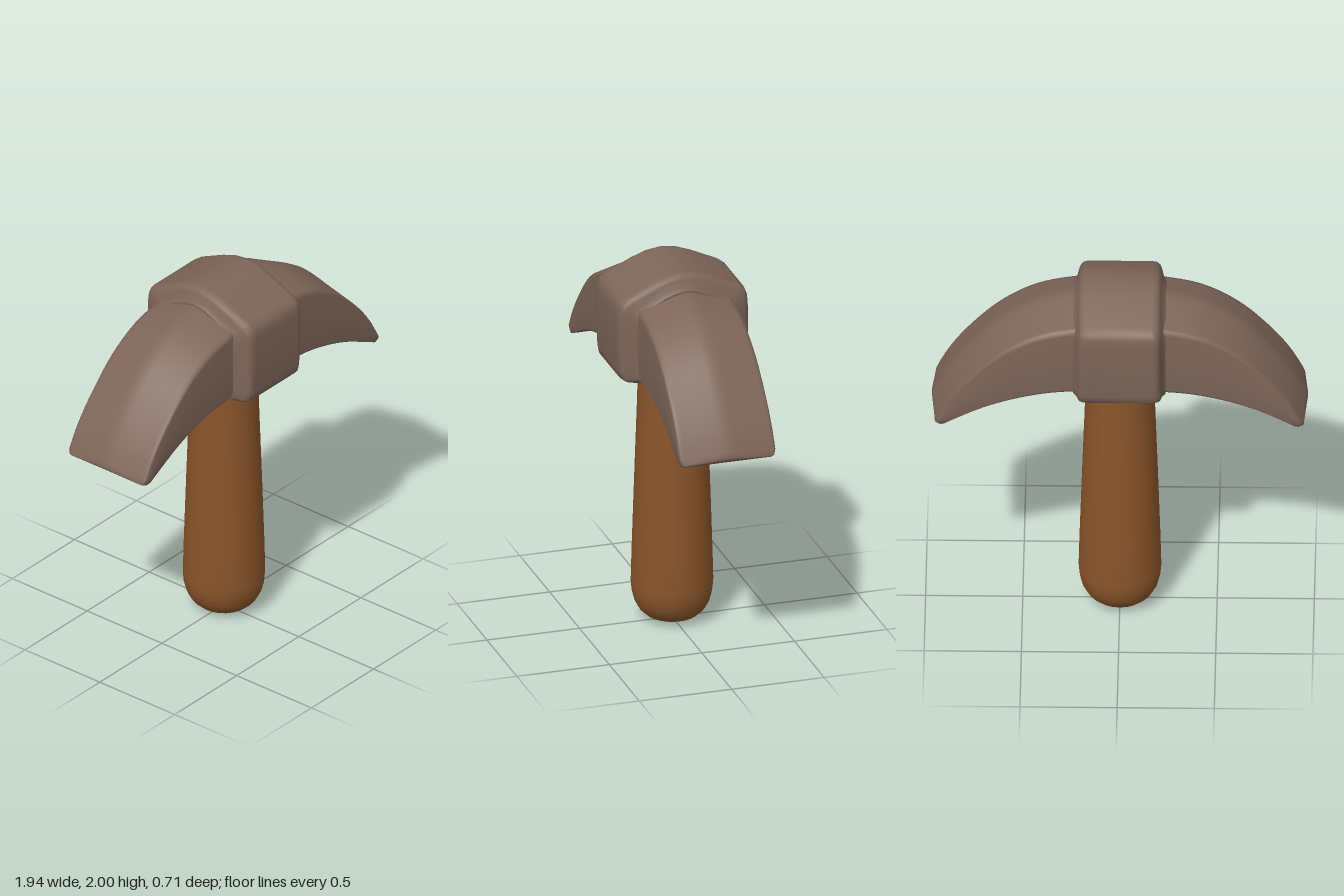
import * as THREE from 'three';

const stone = new THREE.MeshStandardMaterial({ color: 0x7d6558 });
stone.name = 'stone brown';
const neckStone = new THREE.MeshStandardMaterial({ color: 0x85756d });
neckStone.name = 'pale stone';
const wood = new THREE.MeshStandardMaterial({ color: 0x8a552b });
wood.name = 'wood';

const V = (x, y, z) => new THREE.Vector3(x, y, z);

// Completes a +z half section (bottom centre to top centre) with its mirror image
function mirrorRing(half) {
  const other = half.slice(1, -1).reverse().map((p) => V(p.x, p.y, -p.z));
  return [...half, ...other];
}

// Skins closed rings that advance along +x and caps both ends
function loft(rings) {
  const n = rings[0].length;
  const pts = rings.flat();
  const index = [];
  for (let i = 0; i < rings.length - 1; i++) {
    for (let j = 0; j < n; j++) {
      const k = (j + 1) % n;
      const a = i * n + j, b = i * n + k;
      index.push(a, a + n, b, b, a + n, b + n);
    }
  }
  [rings[0], rings[rings.length - 1]].forEach((ring, end) => {
    const start = pts.length;
    const centre = ring.reduce((s, p) => s.add(p), V(0, 0, 0)).divideScalar(n);
    pts.push(...ring, centre);
    for (let j = 0; j < n; j++) {
      const a = start + j, b = start + (j + 1) % n;
      index.push(start + n, end ? b : a, end ? a : b);
    }
  });
  const g = new THREE.BufferGeometry().setFromPoints(pts);
  g.setIndex(index);
  g.computeVertexNormals();
  return g;
}

// Curved pick blade: underside, shoulder edge and ridge curves share one section rule
function bladeGeometry() {
  const curve = (list) => new THREE.CatmullRomCurve3(list.map(([x, y]) => V(x, y, 0)));
  const under = curve([[0, 1.46], [0.22, 1.45], [0.38, 1.435], [0.54, 1.4], [0.69, 1.35], [0.82, 1.29], [0.92, 1.243]]);
  const edge = curve([[0, 1.86], [0.22, 1.835], [0.42, 1.79], [0.6, 1.69], [0.76, 1.54], [0.87, 1.4], [0.948, 1.26]]);
  const ridge = curve([[0, 1.935], [0.23, 1.91], [0.44, 1.85], [0.64, 1.725], [0.8, 1.55], [0.905, 1.4], [0.968, 1.28]]);
  const rings = [];
  const steps = 30;
  const section = (t, s) => {
    const B = under.getPoint(t), E = edge.getPoint(t), R = ridge.getPoint(t);
    const at = (f, z) => { const p = B.clone().lerp(E, f); p.z = z * s; return p; };
    const slope = (f, z) => { const p = E.clone().lerp(R, f); p.z = z * s; return p; };
    return mirrorRing([
      B.clone(), at(0, 0.225), at(0.015, 0.245), at(0.06, 0.256),
      at(0.5, 0.258), at(0.94, 0.258), slope(0.02, 0.25), slope(0.1, 0.23),
      slope(0.6, 0.11), slope(0.9, 0.04), R.clone(),
    ]);
  };
  for (let i = 0; i <= steps; i++) {
    const t = i / steps;
    rings.push(section(t, t > 0.97 ? 0.96 : 1));
  }
  // Rounded tip
  const last = rings[steps];
  const c = last.reduce((s, p) => s.add(p), V(0, 0, 0)).divideScalar(last.length);
  rings.push(last.map((p) => V(c.x + (p.x - c.x) * 0.6 + 0.004, c.y + (p.y - c.y) * 0.6 - 0.006, p.z * 0.95)));
  return loft(rings);
}

// Gabled block that clasps the blades, flared down to them at each side
function collarGeometry() {
  const profile = [
    [0, 1.42], [0.28, 1.424], [0.315, 1.432], [0.338, 1.45], [0.346, 1.49], [0.354, 1.65], [0.352, 1.8],
    [0.347, 1.84], [0.335, 1.87], [0.305, 1.893], [0.16, 1.96], [0.08, 1.989], [0, 2],
  ];
  // x, z scale, y scale
  const half = [[0.165, 1, 1], [0.188, 0.99, 0.993], [0.203, 0.965, 0.97], [0.212, 0.92, 0.94], [0.222, 0.82, 0.88], [0.238, 0.75, 0.845]];
  const stations = [...half.map(([x, a, b]) => [-x, a, b]).reverse(), ...half];
  return loft(stations.map(([x, sz, sy]) =>
    mirrorRing(profile.map(([z, y]) => V(x, 1.47 + (y - 1.47) * sy, z * sz)))));
}

const lathe = (list, sides) =>
  new THREE.LatheGeometry(list.map(([r, y]) => new THREE.Vector2(r, y)), sides);

export function createModel() {
  const group = new THREE.Group();
  const add = (name, geometry, material) => {
    const mesh = new THREE.Mesh(geometry, material);
    mesh.name = name;
    group.add(mesh);
    return mesh;
  };

  // Tapered wooden grip with a rounded butt
  add('handle', lathe([
    [0, 0], [0.09, 0.008], [0.135, 0.028], [0.17, 0.06], [0.195, 0.105], [0.208, 0.155],
    [0.213, 0.21], [0.208, 0.4], [0.195, 0.8], [0.181, 1.2], [0.175, 1.42],
  ], 24), wood);

  // Flare where the grip meets the head
  add('neck', lathe([[0.172, 1.385], [0.184, 1.392], [0.19, 1.405]], 24), neckStone);
  add('neckFlare', lathe([[0.185, 1.402], [0.2, 1.41], [0.235, 1.44]], 24), stone);

  add('collar', collarGeometry(), stone);

  const blade = bladeGeometry();
  add('leftBlade', blade, stone);
  add('rightBlade', blade, stone).rotation.y = Math.PI;

  return group;
}
